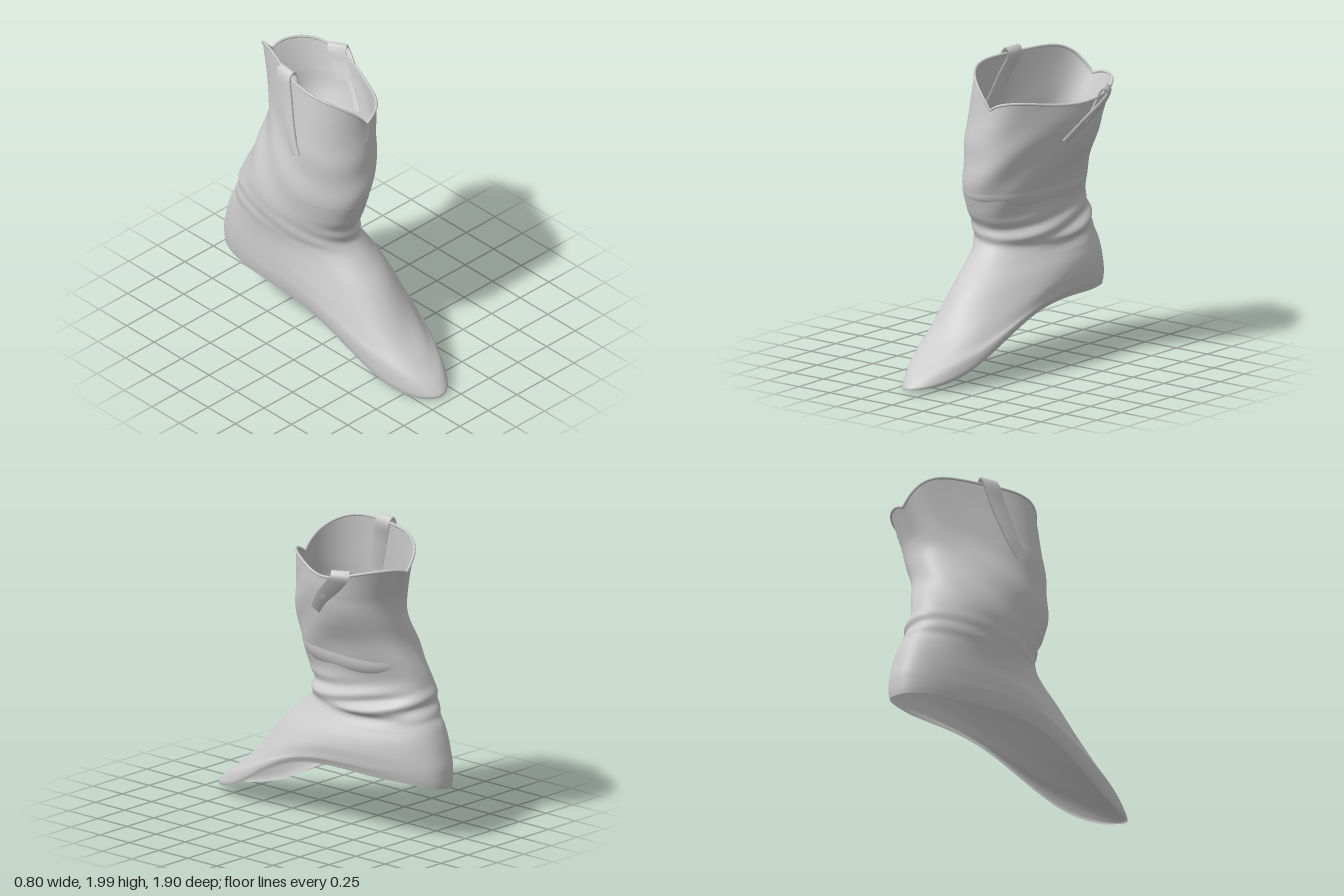
import * as THREE from 'three';

// Cross-section loops from the open lower edge to the rim. Each row holds
// front z, back z, centre x (front, middle, back), half width, toe pointedness,
// then heights at 0, 45, 90, 135 and 180 degrees from the front.
const foot = [
  [0.95, -0.945, -0.11, -0.08, -0.13, 0.29, 1.08, 0.01, 0.05, 0.355, 0.36, 0.335],
  [0.945, -0.95, -0.11, -0.08, -0.13, 0.30, 1.06, 0.03, 0.09, 0.39, 0.40, 0.37],
  [0.89, -0.95, -0.11, -0.08, -0.13, 0.305, 1.08, 0.085, 0.18, 0.43, 0.44, 0.42],
  [0.77, -0.945, -0.11, -0.08, -0.13, 0.303, 1.1, 0.175, 0.27, 0.48, 0.48, 0.48],
  [0.60, -0.925, -0.11, -0.08, -0.13, 0.30, 1.1, 0.31, 0.41, 0.55, 0.55, 0.56],
  [0.40, -0.90, -0.11, -0.09, -0.13, 0.285, 1.05, 0.545, 0.58, 0.63, 0.63, 0.65],
  [0.25, -0.87, -0.12, -0.11, -0.13, 0.265, 1.0, 0.68, 0.69, 0.70, 0.70, 0.73],
];
const shaft = [
  [0.165, -0.84, -0.13, -0.13, -0.13, 0.25, 0.9, 0.76, 0.76, 0.76, 0.76, 0.78],
  [0.14, -0.815, -0.14, -0.125, -0.13, 0.262, 0.9, 0.83, 0.82, 0.81, 0.82, 0.84],
  [0.155, -0.80, -0.15, -0.145, -0.13, 0.25, 0.9, 0.92, 0.91, 0.90, 0.91, 0.92],
  [0.205, -0.76, -0.15, -0.15, -0.12, 0.25, 0.9, 1.02, 1.02, 1.02, 1.02, 1.02],
  [0.245, -0.70, -0.13, -0.115, -0.07, 0.272, 0.9, 1.2, 1.2, 1.2, 1.2, 1.2],
  [0.24, -0.66, -0.10, -0.06, 0.0, 0.295, 0.9, 1.4, 1.4, 1.4, 1.4, 1.4],
  [0.215, -0.67, -0.08, -0.02, 0.02, 0.305, 0.9, 1.57, 1.57, 1.57, 1.57, 1.57],
  [0.195, -0.75, -0.05, 0.02, 0.03, 0.295, 0.9, 1.79, 1.82, 1.82, 1.86, 1.84],
];
const rows = [...foot, ...shaft];
const T_MAX = rows.length - 1;
const { lerp, clamp, smoothstep } = THREE.MathUtils;

const catmull = (a, b, c, d, f) =>
  b + 0.5 * f * (c - a + f * (2 * a - 5 * b + 4 * c - d + f * (3 * (b - c) + d - a)));

// Point on the upper: th is the angle from the front towards +x, t the loop number
function upper(th, t) {
  th = Math.atan2(Math.sin(th), Math.cos(th));
  const i = Math.min(Math.floor(t), T_MAX - 1);
  const row = (k) => rows[clamp(k, 0, T_MAX)];
  const v = rows[0].map((_, k) => catmull(row(i - 1)[k], row(i)[k], row(i + 1)[k], row(i + 2)[k], t - i));
  const [zf, zb, xf, xm, xb, hw, pf] = v;
  const c = Math.cos(th), s = Math.sin(th);

  // Height around the loop, mirrored at front and back
  const u = Math.abs(th) / Math.PI * 4;
  const j = Math.min(Math.floor(u), 3);
  const h = (k) => v[7 + (k < 0 ? -k : k > 4 ? 8 - k : k)];
  let y = catmull(h(j - 1), h(j), h(j + 1), h(j + 2), u - j);

  // Lower edge: higher on the inner side, where the arch is
  y += 0.04 * s * (1 - smoothstep(t, 0, 3));

  // Scalloped rim: lower on the left side, notched at front and back
  const rim = clamp(t - T_MAX + 1, 0, 1);
  y -= rim * (0.115 * s + 0.1 * Math.exp(-Math.abs(th) / 0.25)
    + 0.08 * Math.exp(-(Math.PI - Math.abs(th)) / 0.25));

  // Leather folds: slanted at the ankle, faint above
  const ankle = Math.exp(-(((y - 0.86) / 0.09) ** 2));
  const soft = Math.exp(-(((y - 1.25) / 0.3) ** 2));
  const fold = ankle * (0.008 + 0.006 * s) * Math.sin(55 * y + 5 * c + 3 * s)
    + 0.006 * soft * Math.sin(18 * y + 5 * c - 4 * s);

  // The shaft twists towards the top
  const twist = 0.11 * smoothstep(t, T_MAX - 4, T_MAX) * c * s * s;
  const mid = (zf + zb) / 2, half = (zf - zb) / 2 + fold;
  const power = lerp(0.85, pf, smoothstep(c, -0.5, 0.5));
  const cx = xm + (xf - xb) / 2 * c + ((xf + xb) / 2 - xm) * c * c - twist;
  return new THREE.Vector3(
    cx + (hw + fold) * Math.sign(s) * Math.abs(s) ** power, y, mid + half * c);
}

// Grid of points to a smooth surface; each row closes into a loop
function surface(rowCount, colCount, point) {
  const pos = [], idx = [];
  for (let r = 0; r < rowCount; r++)
    for (let c = 0; c < colCount; c++) pos.push(...point(r, c).toArray());
  for (let r = 0; r < rowCount - 1; r++)
    for (let c = 0; c < colCount; c++) {
      const a = r * colCount + c, b = r * colCount + (c + 1) % colCount;
      const d = a + colCount, e = b + colCount;
      idx.push(a, b, e, a, e, d);
    }
  const g = new THREE.BufferGeometry();
  g.setAttribute('position', new THREE.Float32BufferAttribute(pos, 3));
  g.setIndex(idx);
  g.computeVertexNormals();
  return g;
}

// Pull strap: a flat band running up the outside, over the rim and down inside
function strapGeometry(thTop, thOut, thIn) {
  const centre = new THREE.Vector3(0, 0, -0.28);
  const up = new THREE.Vector3(0, 1, 0);
  const at = (th, t, off, lift = 0) => {
    const p = upper(th, t);
    const out = p.clone().sub(centre).setY(0).normalize();
    return p.addScaledVector(out, off).addScaledVector(up, lift);
  };
  const path = new THREE.CatmullRomCurve3([
    at(thOut, T_MAX - 1.7, 0.008),
    at(lerp(thOut, thTop, 0.4), T_MAX - 1.05, 0.014),
    at(lerp(thOut, thTop, 0.85), T_MAX - 0.4, 0.025),
    at(thTop, T_MAX, 0.025, 0.01),
    at(thTop, T_MAX, 0, 0.035),
    at(thTop, T_MAX, -0.025, 0.005),
    at(lerp(thIn, thTop, 0.6), T_MAX - 0.4, -0.018),
    at(thIn, T_MAX - 0.95, -0.01),
  ]);
  const out = at(thTop, T_MAX, 0).sub(centre).setY(0).normalize();
  const rise = path.getPoint(0.3).sub(path.getPoint(0)).normalize();
  const acrossLow = new THREE.Vector3().crossVectors(rise, out).normalize();
  const acrossTop = new THREE.Vector3().crossVectors(up, out);
  const corners = [[-1, -1], [1, -1], [1, 1], [-1, 1]];
  const N = 48;
  return surface(N + 1, 4, (r, c) => {
    const f = r / N, p = path.getPoint(f);
    const across = acrossLow.clone().lerp(acrossTop, smoothstep(f, 0.1, 0.5)).normalize();
    const normal = new THREE.Vector3().crossVectors(across, path.getTangent(f)).normalize();
    const halfWidth = lerp(0.035, 0.06, smoothstep(f, 0, 0.4));
    return p.addScaledVector(across, corners[c][0] * halfWidth)
      .addScaledVector(normal, corners[c][1] * 0.009);
  });
}

export function createModel() {
  const model = new THREE.Group();
  model.name = 'boot';
  const leather = new THREE.MeshStandardMaterial({ color: 0xcccccc, side: THREE.DoubleSide });
  const add = (name, geometry) => {
    const mesh = new THREE.Mesh(geometry, leather);
    mesh.name = name;
    model.add(mesh);
  };
  const around = 128, steps = 140;
  const angle = (c) => c / around * Math.PI * 2;

  // Foot and shaft in one shell, hollow and open underneath
  add('upper', surface(steps + 1, around, (r, c) => upper(angle(c), r / steps * T_MAX)));

  // Bowl that closes the inside of the shaft above the ankle
  const bowlLoop = 10.7, bowlRows = 16;
  const bowlCentre = upper(0, bowlLoop).lerp(upper(Math.PI, bowlLoop), 0.5);
  add('innerBowl', surface(bowlRows + 1, around, (r, c) => {
    const a = (1 - r / bowlRows) * Math.PI / 2;
    const p = bowlCentre.clone().lerp(upper(angle(c), bowlLoop), Math.cos(a));
    p.y -= 0.2 * Math.sin(a);
    return p;
  }));

  // Rolled edge at the rim
  const rimPoints = Array.from({ length: 96 }, (_, k) => upper(k / 96 * Math.PI * 2, T_MAX));
  add('rimBinding', new THREE.TubeGeometry(
    new THREE.CatmullRomCurve3(rimPoints, true), 192, 0.009, 8, true));

  // Pull straps
  add('leftPullStrap', strapGeometry(2.0, 1.5, 1.85));
  add('rightPullStrap', strapGeometry(-1.62, -1.35, -1.4));

  return model;
}
